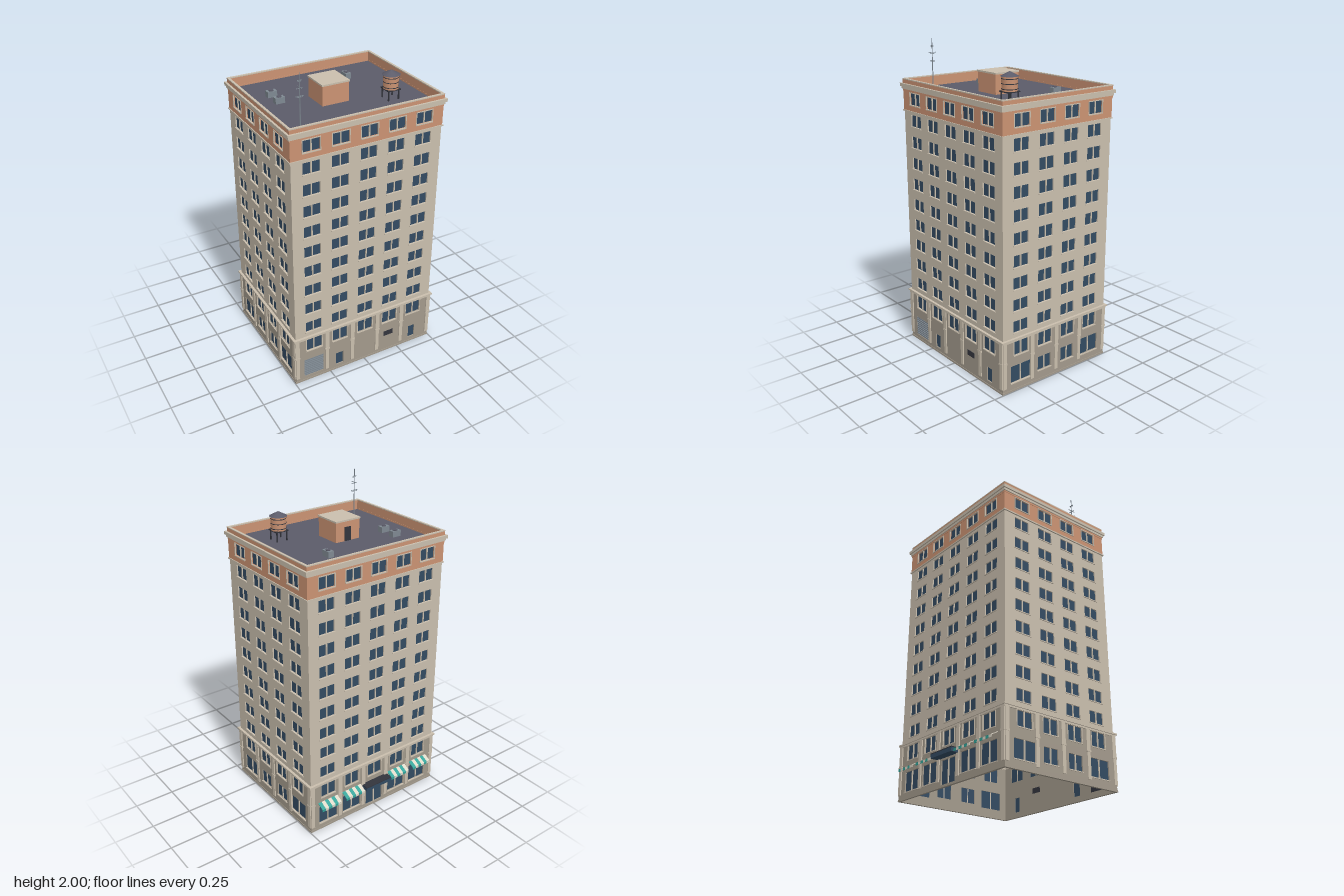
import * as THREE from 'three';
import { mergeGeometries } from 'three/addons/utils/BufferGeometryUtils.js';

const mat = (name, color, side = THREE.FrontSide) => {
  const m = new THREE.MeshStandardMaterial({ color, side });
  m.name = name;
  return m;
};

export function createModel() {
  const model = new THREE.Group();
  model.name = 'officeTower';
  const stone = mat('cream stone', 0xcabfae, THREE.DoubleSide);
  const taupe = mat('taupe stone', 0xa39a8c, THREE.DoubleSide);
  const brick = mat('terracotta', 0xcb9373, THREE.DoubleSide);
  const glass = mat('blue glass', 0x334b62, THREE.DoubleSide);
  const slate = mat('roof slate', 0x5b5b69);
  const metal = mat('grey metal', 0x7f8992);
  const dark = mat('charcoal', 0x33353d);
  const teal = mat('awning teal', 0x33a399);
  const white = mat('awning cream', 0xded8c8);

  const HX = 0.49, HZ = 0.41, CZ = 0.02;   // shaft half sizes and depth centre

  // Collects geometry by part name, merged into one mesh per part
  function parts(group) {
    const bins = new Map();
    return {
      add(name, material, geo) {
        if (!bins.has(name)) bins.set(name, { material, list: [] });
        bins.get(name).list.push(geo.index ? geo.toNonIndexed() : geo);
      },
      box(name, material, w, h, d, x, y, z) {
        this.add(name, material, new THREE.BoxGeometry(w, h, d).translate(x, y, z));
      },
      done() {
        for (const [name, { material, list }] of bins) {
          const mesh = new THREE.Mesh(mergeGeometries(list), material);
          mesh.name = name;
          group.add(mesh);
        }
      },
    };
  }

  const rect = (T, x0, x1, y0, y1) => {
    const s = new T();
    s.moveTo(x0, y0); s.lineTo(x1, y0); s.lineTo(x1, y1); s.lineTo(x0, y1);
    s.closePath();
    return s;
  };

  // One facade: walls with openings, windows, pilasters and ground floor
  function facade(name, angle, half, dist, columns, pilasters, ground) {
    const g = new THREE.Group();
    g.name = name;
    g.position.z = CZ;
    g.rotation.y = angle;
    model.add(g);
    const p = parts(g);
    const T = 0.012;

    const wall = (part, material, y0, y1, out, openings) => {
      const s = rect(THREE.Shape, -half - out, half + out, y0, y1);
      for (const o of openings) {
        s.holes.push(rect(THREE.Path, o.x - o.w / 2, o.x + o.w / 2, o.y - o.h / 2, o.y + o.h / 2));
      }
      p.add(part, material, new THREE.ExtrudeGeometry(s, { depth: T, bevelEnabled: false })
        .translate(0, 0, dist + out - T));
      for (const o of openings) {
        const z = dist + out;
        if (o.kind === 'louver') {
          p.box('louverBack', dark, o.w, o.h, 0.004, o.x, o.y, z - 0.009);
          for (let i = 0; i < 9; i++) {
            p.box('louverSlats', metal, o.w, o.h / 14, 0.006, o.x, o.y + o.h * ((i + 0.5) / 9 - 0.5), z - 0.004);
          }
        } else if (o.kind === 'vent') {
          p.box('ventPanel', dark, o.w, o.h, 0.014, o.x, o.y, z - 0.004);
        } else {
          p.add('windowGlass', glass, new THREE.PlaneGeometry(o.w, o.h).translate(o.x, o.y, z - 0.008));
          const n = o.panes ?? 2;
          for (let i = 1; i < n; i++) {
            p.box('windowMullions', stone, 0.007, o.h, 0.007, o.x + o.w * (i / n - 0.5), o.y, z - 0.005);
          }
          if (o.kind !== 'door') p.box('windowSills', stone, o.w + 0.008, 0.006, 0.01, o.x, o.y - o.h / 2 - 0.003, z);
          if (o.frame) {
            p.box('windowHeads', stone, o.w + 0.008, 0.005, 0.006, o.x, o.y + o.h / 2 + 0.002, z);
            for (const s2 of [-1, 1]) {
              p.box('windowJambs', stone, 0.005, o.h, 0.006, o.x + s2 * (o.w / 2 + 0.002), o.y, z);
            }
          }
        }
      }
    };

    const row = (y, h, frame) => columns.map((x) => ({ x, y, w: 0.107, h, frame }));
    const shaftRows = [];
    for (let i = 0; i < 9; i++) shaftRows.push(...row(0.415 + i * 0.1357, 0.073, false));
    wall('podiumWall', taupe, 0, 0.336, 0.004, [...row(0.28, 0.09, true), ...ground]);
    wall('shaftWall', stone, 0.336, 1.56, 0, shaftRows);
    wall('crownWall', brick, 1.56, 1.7, 0.003, row(1.637, 0.073, true));

    for (const x of pilasters) {
      p.box('pilasters', stone, 0.024, 0.16, 0.012, x, 0.115, dist + 0.005);
      p.box('pilasters', stone, 0.032, 0.012, 0.016, x, 0.2, dist + 0.005);
      p.box('pilasters', stone, 0.028, 0.13, 0.012, x, 0.271, dist + 0.005);
    }
    p.done();
    return g;
  }

  const cols5 = [-0.364, -0.182, 0, 0.182, 0.364];
  const cols4 = [-0.2775, -0.0925, 0.0925, 0.2775];
  const pil5 = [-0.482, -0.275, -0.092, 0.092, 0.275, 0.482];
  const pil4 = [-0.402, -0.192, 0, 0.192, 0.402];
  const sideGround = cols4.map((x) => Math.abs(x) > 0.2
    ? { x, y: 0.112, w: 0.152, h: 0.11 }
    : { x, y: 0.115, w: 0.103, h: 0.09 });

  facade('frontFacade', 0, HX, HZ, cols5, pil5, [
    { x: -0.367, y: 0.1, w: 0.135, h: 0.13, kind: 'louver' },
    { x: -0.182, y: 0.08, w: 0.052, h: 0.092, kind: 'door', panes: 1 },
    { x: 0.18, y: 0.142, w: 0.07, h: 0.035, kind: 'vent' },
    { x: 0.364, y: 0.08, w: 0.048, h: 0.092, kind: 'door', panes: 1 },
  ]);
  facade('leftFacade', Math.PI / 2, HZ, HX, cols4, pil4, sideGround);
  facade('rightFacade', -Math.PI / 2, HZ, HX, cols4, pil4, sideGround);
  const back = facade('backFacade', Math.PI, HX, HZ, cols5, pil5, cols5.map((x) => x === 0
    ? { x, y: 0.085, w: 0.13, h: 0.14, kind: 'door' }
    : { x, y: 0.105, w: 0.135, h: 0.12 }));

  // Striped awnings and entrance canopy on the back
  const shop = parts(back);
  const wz = HZ + 0.004, run = 0.046, drop = 0.024;
  for (const cx of [-0.367, -0.183, 0.183, 0.367]) {
    for (let i = 0; i < 6; i++) {
      const x = cx + (i - 2.5) * 0.0243;
      const [n, m] = i % 2 ? ['awningCreamStripes', white] : ['awningTealStripes', teal];
      shop.add(n, m, new THREE.BoxGeometry(0.0243, 0.004, Math.hypot(run, drop))
        .rotateX(Math.atan2(drop, run)).translate(x, 0.188, wz + run / 2));
      shop.box(n, m, 0.0243, 0.014, 0.003, x, 0.169, wz + run - 0.001);
    }
  }
  shop.box('entranceCanopy', glass, 0.197, 0.024, 0.052, 0, 0.178, wz + 0.026);
  shop.box('canopyEdge', dark, 0.199, 0.005, 0.053, 0, 0.192, wz + 0.0265);
  shop.done();

  // Rings around the building: ledges, cornice, parapet
  const ring = (name, material, out, inn, y0, y1) => {
    const s = rect(THREE.Shape, -HX - out, HX + out, -HZ - out, HZ + out);
    s.holes.push(rect(THREE.Path, -HX - inn, HX + inn, -HZ - inn, HZ + inn));
    const mesh = new THREE.Mesh(new THREE.ExtrudeGeometry(s, { depth: y1 - y0, bevelEnabled: false })
      .rotateX(-Math.PI / 2).translate(0, y0, CZ), material);
    mesh.name = name;
    model.add(mesh);
  };
  ring('plinth', taupe, 0.007, -0.005, 0, 0.012);
  ring('podiumLedgeLower', stone, 0.01, -0.005, 0.326, 0.337);
  ring('podiumLedgeUpper', stone, 0.016, -0.005, 0.337, 0.347);
  ring('crownLedge', stone, 0.008, -0.005, 1.554, 1.562);
  ring('corniceLower', stone, 0.01, -0.006, 1.692, 1.707);
  ring('corniceUpper', stone, 0.018, -0.006, 1.707, 1.727);
  ring('parapet', brick, 0.005, -0.008, 1.68, 1.75);
  ring('parapetCap', stone, 0.006, -0.009, 1.75, 1.756);

  // Roof deck, penthouse and rooftop equipment
  const roof = new THREE.Group();
  roof.name = 'roof';
  model.add(roof);
  const r = parts(roof);
  const Y = 1.69;
  r.box('roofDeck', slate, 2 * HX - 0.014, 0.01, 2 * HZ - 0.014, 0, Y - 0.005, CZ);
  r.box('penthouse', brick, 0.172, 0.122, 0.172, -0.043, Y + 0.061, 0.04);
  r.box('penthouseLid', stone, 0.18, 0.01, 0.18, -0.043, Y + 0.125, 0.04);
  r.box('penthouseDoor', dark, 0.045, 0.085, 0.006, -0.043, Y + 0.043, -0.047);
  for (const [x, z, w, d] of [[-0.32, -0.15, 0.06, 0.037], [-0.32, -0.045, 0.06, 0.037], [0.21, -0.195, 0.037, 0.06]]) {
    r.box('airUnits', metal, w, 0.036, d, x, Y + 0.018, z);
    r.add('airFans', slate, new THREE.CylinderGeometry(0.015, 0.015, 0.005, 10).translate(x, Y + 0.0385, z));
  }

  // Water tank on legs
  const tx = 0.275, tz = 0.208;
  r.add('tankBarrel', brick, new THREE.CylinderGeometry(0.047, 0.047, 0.084, 10).translate(tx, 1.796, tz));
  for (const y of [1.766, 1.796, 1.824]) {
    r.add('tankHoops', dark, new THREE.CylinderGeometry(0.0485, 0.0485, 0.004, 10).translate(tx, y, tz));
  }
  r.add('tankRoof', slate, new THREE.ConeGeometry(0.055, 0.028, 10).toNonIndexed().translate(tx, 1.851, tz));
  r.box('tankStand', dark, 0.085, 0.007, 0.085, tx, 1.751, tz);
  for (const sx of [-1, 1]) for (const sz of [-1, 1]) {
    r.box('tankLegs', dark, 0.007, 0.06, 0.007, tx + sx * 0.034, Y + 0.03, tz + sz * 0.034);
  }

  // Antenna mast with crossbars
  const ax = -0.36, az = 0.3;
  r.add('antennaMast', metal, new THREE.CylinderGeometry(0.002, 0.004, 2 - Y, 6).translate(ax, (2 + Y) / 2, az));
  [[1.955, 0.03], [1.915, 0.05], [1.865, 0.05]].forEach(([y, w], i) => {
    r.box('antennaBars', metal, i === 1 ? 0.003 : w, 0.003, i === 1 ? w : 0.003, ax, y, az);
    r.box('antennaBars', metal, w * 0.8, 0.003, 0.003, ax, y - 0.006, az);
  });
  r.done();
  return model;
}
